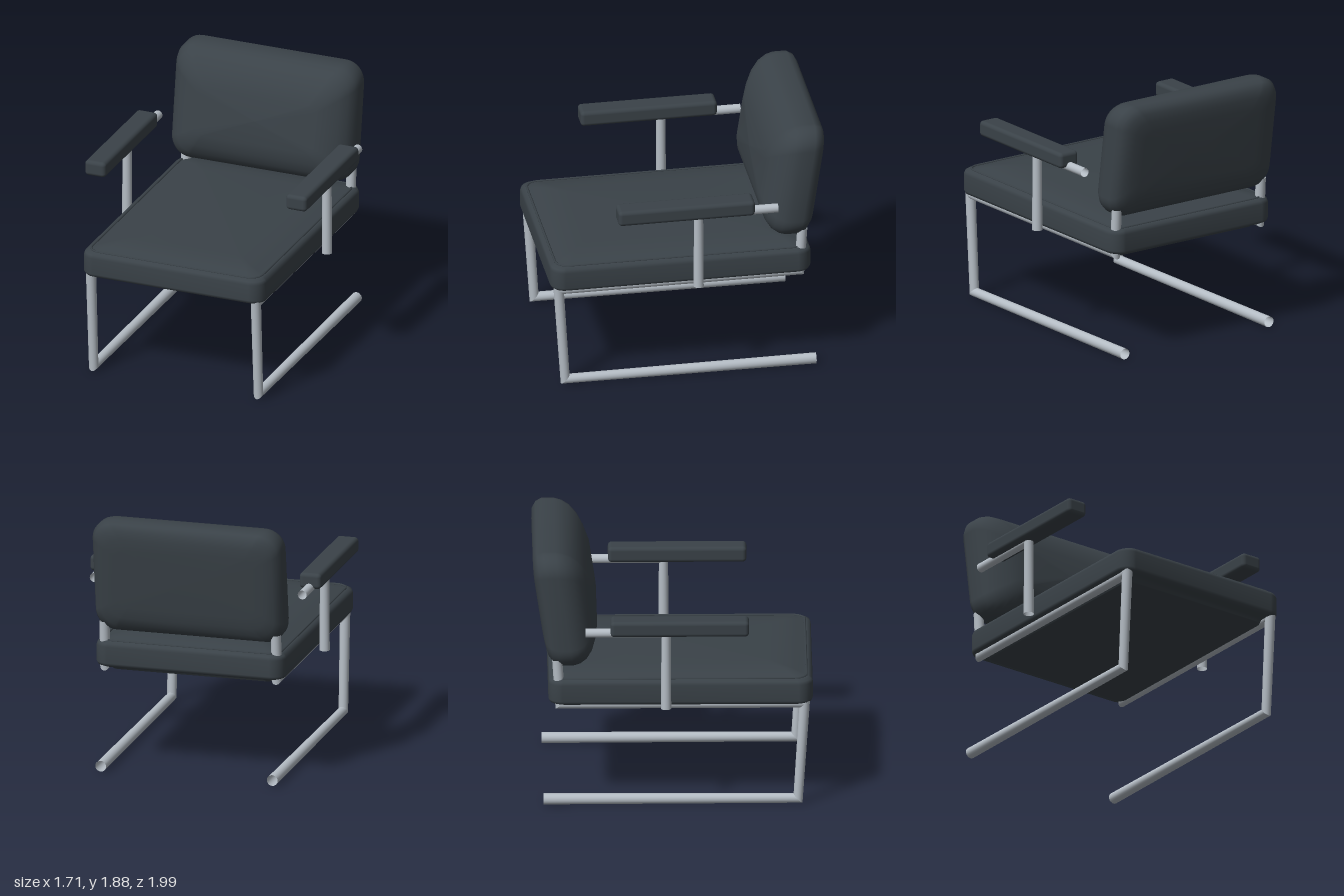
import * as THREE from 'three';
import { mergeGeometries } from 'three/addons/utils/BufferGeometryUtils.js';
import { RoundedBoxGeometry } from 'three/addons/geometries/RoundedBoxGeometry.js';

const fabric = new THREE.MeshStandardMaterial({ color: 0x3a4248 });
const steel = new THREE.MeshStandardMaterial({ color: 0xb4bcc4, side: THREE.DoubleSide });

// Skin a stack of closed loops, each an array of [x, y, z]
function loft(rings) {
  const n = rings[0].length, index = [];
  for (let i = 0; i < rings.length - 1; i++) {
    for (let j = 0; j < n; j++) {
      const a = i * n + j, b = i * n + (j + 1) % n;
      index.push(a, b, a + n, b, b + n, a + n);
    }
  }
  const g = new THREE.BufferGeometry();
  g.setAttribute('position', new THREE.Float32BufferAttribute(rings.flat(2), 3));
  g.setIndex(index);
  g.computeVertexNormals();
  return g;
}

// Rounded rectangle loop at height d, counter-clockwise about +z
function roundedLoop(hw, hh, r, d) {
  const loop = [], steps = 8;
  [[1, 1], [-1, 1], [-1, -1], [1, -1]].forEach(([sx, sy], c) => {
    for (let k = 0; k <= steps; k++) {
      const t = (c + k / steps) * Math.PI / 2;
      loop.push([sx * (hw - r) + r * Math.cos(t), sy * (hh - r) + r * Math.sin(t), d]);
    }
  });
  return loop;
}

// Cushion from layers of [inset, height], closed to a centre point at both ends
function cushion(hw, hh, r, layers) {
  const rings = layers.map(([i, d]) => roundedLoop(hw - i, hh - i, Math.max(r - i * 0.4, 0.03), d));
  const close = (ring, d) => ring.map(() => [0, 0, d]);
  rings.unshift(close(rings[0], layers[0][1]));
  rings.push(close(rings[rings.length - 1], layers[layers.length - 1][1] + 0.012));
  return loft(rings);
}

// Open mitred pipe in the yz plane; points are [z, y, radius]
function pipe(x, points) {
  const dirs = points.slice(1).map((p, i) =>
    new THREE.Vector2(p[0] - points[i][0], p[1] - points[i][1]).normalize());
  const rings = points.map(([z, y, r], i) => {
    const a = dirs[Math.max(i - 1, 0)], b = dirs[Math.min(i, dirs.length - 1)];
    const t = a.clone().add(b).normalize();
    const stretch = 1 / t.dot(a);
    return Array.from({ length: 20 }, (_, j) => {
      const q = j / 20 * Math.PI * 2, s = r * stretch * Math.sin(q);
      return [x + r * Math.cos(q), y + t.x * s, z - t.y * s];
    });
  });
  return mergeGeometries(dirs.map((_, i) => loft([rings[i], rings[i + 1]])));
}

export function createModel() {
  const model = new THREE.Group();
  const add = (name, geometry, material) => {
    const mesh = new THREE.Mesh(geometry, material);
    mesh.name = name;
    model.add(mesh);
    return mesh;
  };

  // Seat cushion with softly crowned top
  const seat = cushion(0.7, 0.94, 0.1, [
    [0.11, 0.735], [0.1, 0.735], [0.09, 0.762], [0.035, 0.766], [0.008, 0.78], [0, 0.80],
    [0, 0.92], [0.008, 0.943], [0.03, 0.957], [0.05, 0.957],
    [0.1, 0.972], [0.18, 0.988], [0.3, 0.997],
  ]);
  add('seatCushion', seat.rotateX(-Math.PI / 2).translate(0, 0, 0.06), fabric);

  // Piping along the seat's top seam
  const seam = roundedLoop(0.657, 0.897, 0.085, 0).map(([x, y]) => new THREE.Vector3(x, 0.958, 0.06 - y));
  const seamCurve = new THREE.CurvePath();
  seam.forEach((p, i) => seamCurve.add(new THREE.LineCurve3(p, seam[(i + 1) % seam.length])));
  add('seatPiping', new THREE.TubeGeometry(seamCurve, 160, 0.009, 6, true), fabric);

  // Backrest cushion, bulging forward and leaning back
  const back = cushion(0.7, 0.425, 0.15, [
    [0.2, -0.005], [0.12, 0.002], [0.06, 0.015], [0.02, 0.045], [0, 0.09], [0, 0.18],
    [0.012, 0.23], [0.04, 0.28], [0.09, 0.325], [0.16, 0.36], [0.25, 0.388],
  ]);
  const pos = back.attributes.position;
  for (let i = 0; i < pos.count; i++) {
    pos.setZ(i, pos.getZ(i) - 0.15 * pos.getY(i));
  }
  back.computeVertexNormals();
  add('backrestCushion', back.translate(0, 1.457, -0.945), fabric);

  for (const [side, s] of [['left', 1], ['right', -1]]) {
    // Floor runner, front leg, seat rail and backrest post in one bent pipe
    add(side + 'Frame', pipe(s * 0.635, [
      [-0.915, 0.045, 0.04], [0.895, 0.044, 0.034],
      [0.942, 0.767, 0.037], [-0.795, 0.767, 0.037], [-0.818, 1.1, 0.036],
    ]), steel);

    // Armrest post and rear stub
    add(side + 'ArmSupport', pipe(s * 0.77, [
      [-0.045, 0.775, 0.037], [-0.045, 1.348, 0.033], [-0.617, 1.348, 0.033],
    ]), steel);

    // Armrest pad
    add(side + 'ArmPad', new RoundedBoxGeometry(0.16, 0.115, 0.985, 4, 0.028), fabric)
      .position.set(s * 0.775, 1.397, 0.052);
  }
  return model;
}
